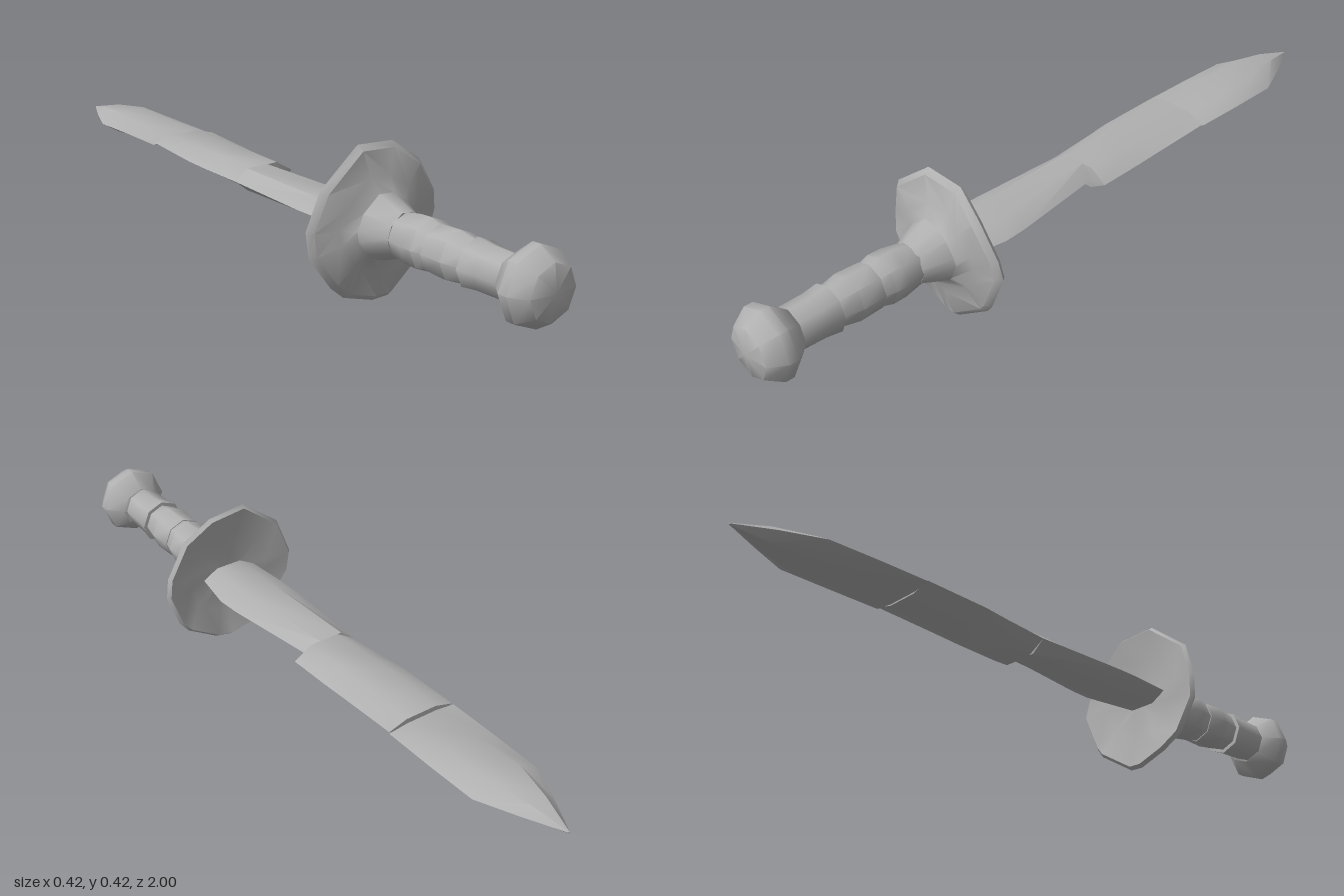
import * as THREE from 'three';
import { toCreasedNormals } from 'three/addons/utils/BufferGeometryUtils.js';

const AXIS_Y = 0.21;

// Skin over rings of [x, y, z] points: counterclockwise seen from +z, rings running towards +z.
function loft(rings, crease) {
  const n = rings[0].length;
  const pos = rings.flat(2);
  const idx = [];
  for (let r = 0; r < rings.length - 1; r++) {
    for (let i = 0; i < n; i++) {
      const a = r * n + i, b = r * n + (i + 1) % n;
      idx.push(a, b, a + n, b, b + n, a + n);
    }
  }
  // end caps
  const last = (rings.length - 1) * n;
  for (let i = 1; i < n - 1; i++) {
    idx.push(0, i + 1, i);
    idx.push(last, last + i, last + i + 1);
  }
  const g = new THREE.BufferGeometry();
  g.setAttribute('position', new THREE.Float32BufferAttribute(pos, 3));
  g.setIndex(idx);
  return toCreasedNormals(g, crease);
}

// Turned part along z from [radius, z] pairs, listed towards +z.
function turned(profile, sides, crease) {
  const g = new THREE.LatheGeometry(profile.map(([r, z]) => new THREE.Vector2(r, z)), sides);
  g.rotateX(Math.PI / 2);
  return toCreasedNormals(g, crease);
}

// Flattened six-sided blade section.
function bladeRing([z, left, right, bottom, top]) {
  const w = (right - left) * 0.27, mid = (bottom + top) / 2;
  return [
    [right, mid, z], [right - w, top, z], [left + w, top, z],
    [left, mid, z], [left + w, bottom, z], [right - w, bottom, z],
  ];
}

export function createModel() {
  const model = new THREE.Group();
  const steel = new THREE.MeshStandardMaterial({ color: 0xb0b0b0 });
  steel.name = 'grey steel';

  function add(name, geometry, x = 0, y = 0) {
    const mesh = new THREE.Mesh(geometry, steel);
    mesh.name = name;
    mesh.position.set(x, y, 0);
    model.add(mesh);
  }

  // Blade point: z, left, right, bottom, top
  add('bladeTip', loft([
    [-1, -0.012, -0.008, 0.224, 0.228],
    [-0.9, -0.06, 0.045, 0.207, 0.25],
    [-0.79, -0.105, 0.095, 0.197, 0.26],
    [-0.64, -0.105, 0.1, 0.21, 0.25],
    [-0.49, -0.105, 0.1, 0.222, 0.236],
  ].map(bladeRing), 0.6));

  // Blade body with the notch in its left edge
  add('blade', loft([
    [-0.49, -0.1, 0.1, 0.218, 0.25],
    [-0.3, -0.105, 0.1, 0.197, 0.25],
    [-0.22, -0.1, 0.1, 0.188, 0.249],
    [-0.09, -0.092, 0.1, 0.182, 0.245],
    [-0.088, -0.092, 0.055, 0.182, 0.245],
    [0.2, -0.1, 0.095, 0.184, 0.239],
    [0.27, -0.098, 0.1, 0.185, 0.238],
    [0.39, -0.088, 0.08, 0.186, 0.236],
  ].map(bladeRing), 0.6));

  // Hand guard: an irregular thin disc running into a flared collar
  const rim = [
    [0.21, 0.205], [0.2, 0.26], [0.14, 0.355], [0.06, 0.412], [-0.055, 0.42],
    [-0.175, 0.325], [-0.21, 0.22], [-0.205, 0.155], [-0.14, 0.065],
    [-0.09, 0.025], [0, 0], [0.045, 0.005], [0.145, 0.07], [0.17, 0.1],
  ];
  const guardRing = ([scale, z, ripple]) => rim.map(([x, y], i) => [
    x * scale, AXIS_Y + (y - AXIS_Y) * scale, z + (i % 3 - 1) * ripple,
  ]);
  add('handGuard', loft([
    [0.2, 0.395, 0],
    [0.6, 0.388, 0.006],
    [0.96, 0.375, 0.006],
    [1, 0.386, 0.006],
    [0.93, 0.402, 0.007],
    [0.6, 0.412, 0.008],
    [0.42, 0.432, 0.002],
    [0.28, 0.51, 0],
  ].map(guardRing), 0.7));

  // Grip: three overlapping faceted sleeves
  const sleeves = [
    [[0, 0.485], [0.055, 0.485], [0.068, 0.56], [0.069, 0.6], [0.056, 0.645], [0, 0.645]],
    [[0, 0.625], [0.063, 0.63], [0.066, 0.7], [0.053, 0.765], [0, 0.765]],
    [[0, 0.75], [0.066, 0.755], [0.06, 0.8], [0.058, 0.9], [0, 0.9]],
  ];
  sleeves.forEach((p, i) => add('gripSleeve' + (i + 1), turned(p, 8, 0.8), 0, AXIS_Y));

  // Pommel
  add('pommel', turned([
    [0, 0.87], [0.062, 0.872], [0.101, 0.92], [0.101, 0.945],
    [0.072, 0.99], [0, 1],
  ], 8, 0.9), 0.005, AXIS_Y);

  return model;
}
